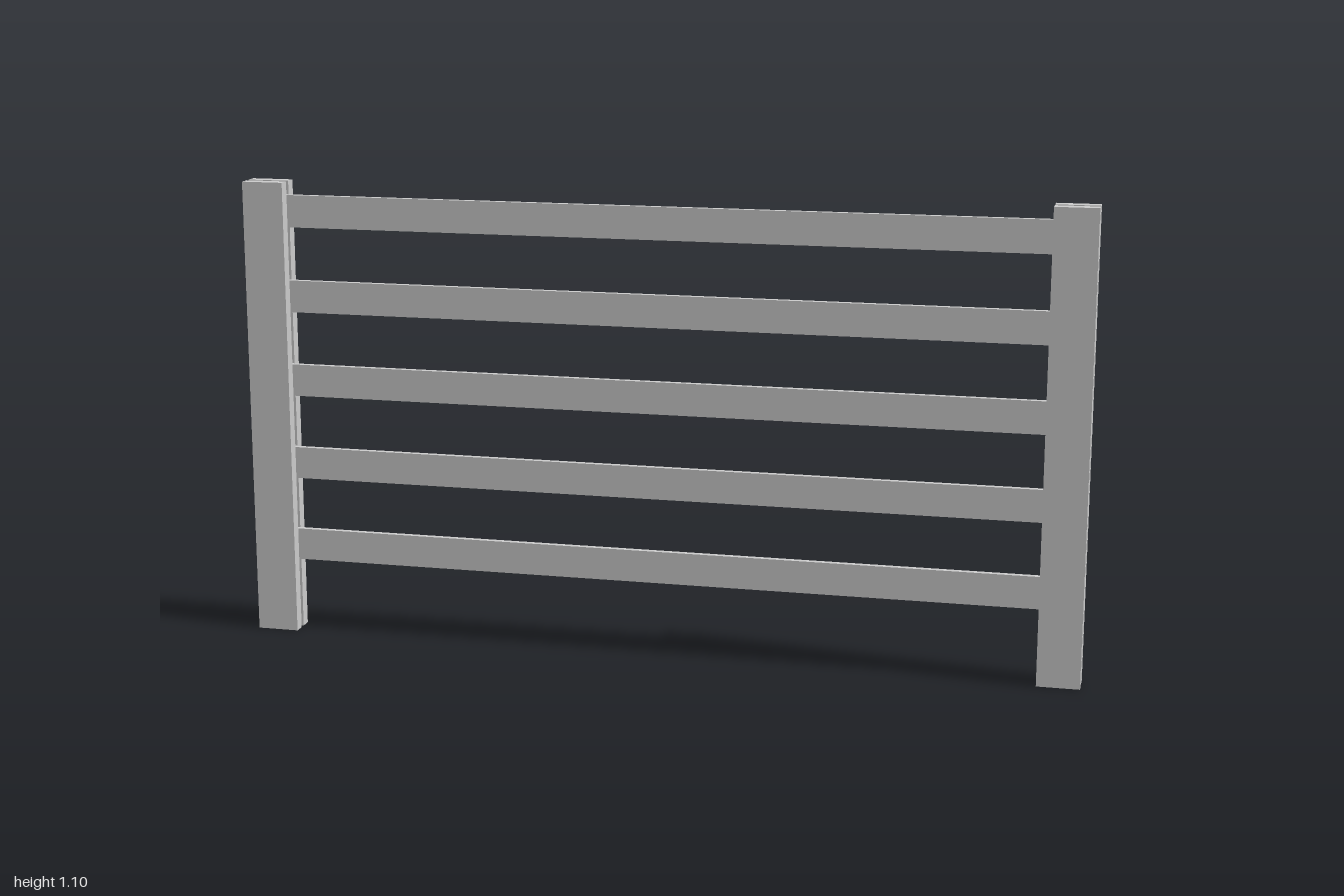
import * as THREE from 'three';

export function createModel() {
  const group = new THREE.Group();
  group.name = 'fencePanel';
  const material = new THREE.MeshStandardMaterial({ color: 0xcccccc, flatShading: true });

  const addBoard = (name, w, h, d, x, y, z) => {
    const mesh = new THREE.Mesh(new THREE.BoxGeometry(w, h, d), material);
    mesh.name = name;
    mesh.position.set(x, y, z);
    group.add(mesh);
  };

  const height = 1.104, postWidth = 0.1;
  const railThickness = 0.0136, boardThickness = 0.0272;
  const boardZ = (railThickness + boardThickness) / 2;

  // Paired upright boards clamp the rails at each end
  for (const [side, sx] of [['left', 1], ['right', -1]]) {
    for (const [face, sz] of [['Front', 1], ['Back', -1]]) {
      addBoard(`${side}${face}Post`, postWidth, height, boardThickness,
        sx * (1 - postWidth / 2), height / 2, sz * boardZ);
    }
  }

  // Five horizontal rails, running through to the outer post edges
  const railHeight = 0.077, firstRailBottom = 0.176, railSpacing = 0.2047;
  for (let i = 0; i < 5; i++) {
    addBoard(`rail${i + 1}`, 2, railHeight, railThickness,
      0, firstRailBottom + railHeight / 2 + i * railSpacing, 0);
  }

  return group;
}
